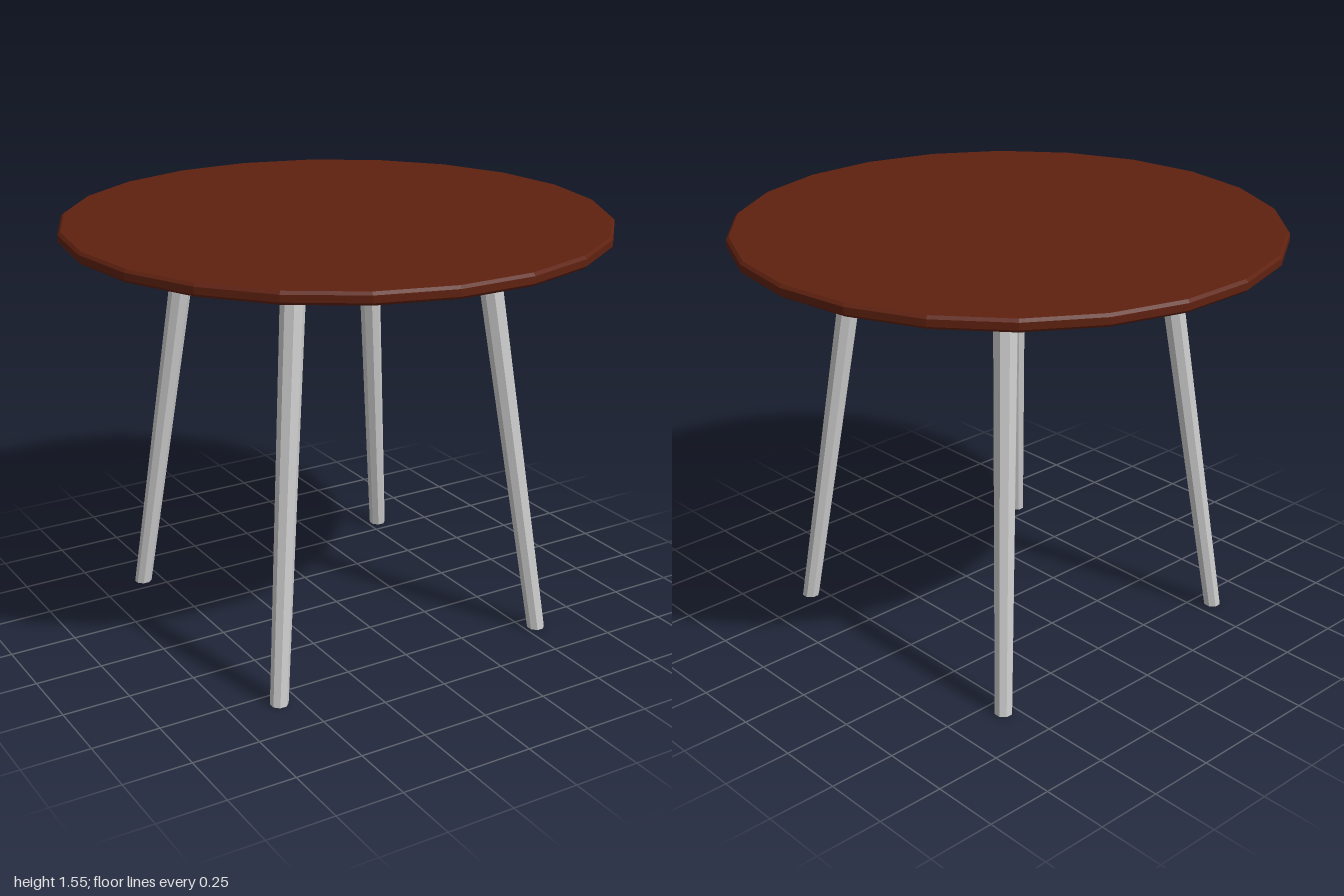
import * as THREE from 'three';

const wood = new THREE.MeshStandardMaterial({ color: 0x5e2110 });
wood.name = 'dark wood';
const metal = new THREE.MeshStandardMaterial({ color: 0xcccccc });
metal.name = 'pale grey';

const BASE_X = -0.0125; // the apron and legs sit slightly off the top's centre

function addMesh(group, name, geometry, material) {
  // split the faces so that every facet stays flat
  const flat = geometry.index ? geometry.toNonIndexed() : geometry;
  flat.computeVertexNormals();
  const mesh = new THREE.Mesh(flat, material);
  mesh.name = name;
  group.add(mesh);
  return mesh;
}

// Tapered leg with level ends, leaning from its foot to its top
function legGeometry(foot, top, height) {
  const geometry = new THREE.CylinderGeometry(0.044, 0.033, height, 8);
  geometry.rotateY(Math.PI / 8);
  geometry.translate(0, height / 2, 0);
  const p = geometry.attributes.position;
  for (let i = 0; i < p.count; i++) {
    const t = p.getY(i) / height;
    p.setX(i, p.getX(i) + THREE.MathUtils.lerp(foot.x, top.x, t));
    p.setZ(i, p.getZ(i) + THREE.MathUtils.lerp(foot.y, top.y, t));
  }
  return geometry;
}

export function createModel() {
  const table = new THREE.Group();
  table.name = 'roundTable';

  // Round top with a small bevel on both rims
  const profile = [[0, 1.51], [0.99, 1.51], [1, 1.52], [1, 1.545], [0.99, 1.555], [0, 1.555]]
    .map(([r, y]) => new THREE.Vector2(r, y));
  const top = new THREE.LatheGeometry(profile, 22);
  top.rotateY(Math.PI / 2);
  addMesh(table, 'tableTop', top, wood);

  // Disc apron under the top
  const apron = new THREE.CylinderGeometry(0.667, 0.667, 0.085, 18);
  apron.rotateY(Math.PI / 2);
  apron.translate(BASE_X, 1.4675, 0);
  addMesh(table, 'apron', apron, metal);

  // Four splayed legs
  for (const [sx, sz, name] of [
    [1, 1, 'frontLeftLeg'], [-1, 1, 'frontRightLeg'],
    [1, -1, 'backLeftLeg'], [-1, -1, 'backRightLeg'],
  ]) {
    const foot = new THREE.Vector2(BASE_X + sx * 0.56, sz * 0.567);
    const head = new THREE.Vector2(BASE_X + sx * 0.397, sz * 0.403);
    addMesh(table, name, legGeometry(foot, head, 1.43), metal);
  }

  return table;
}
